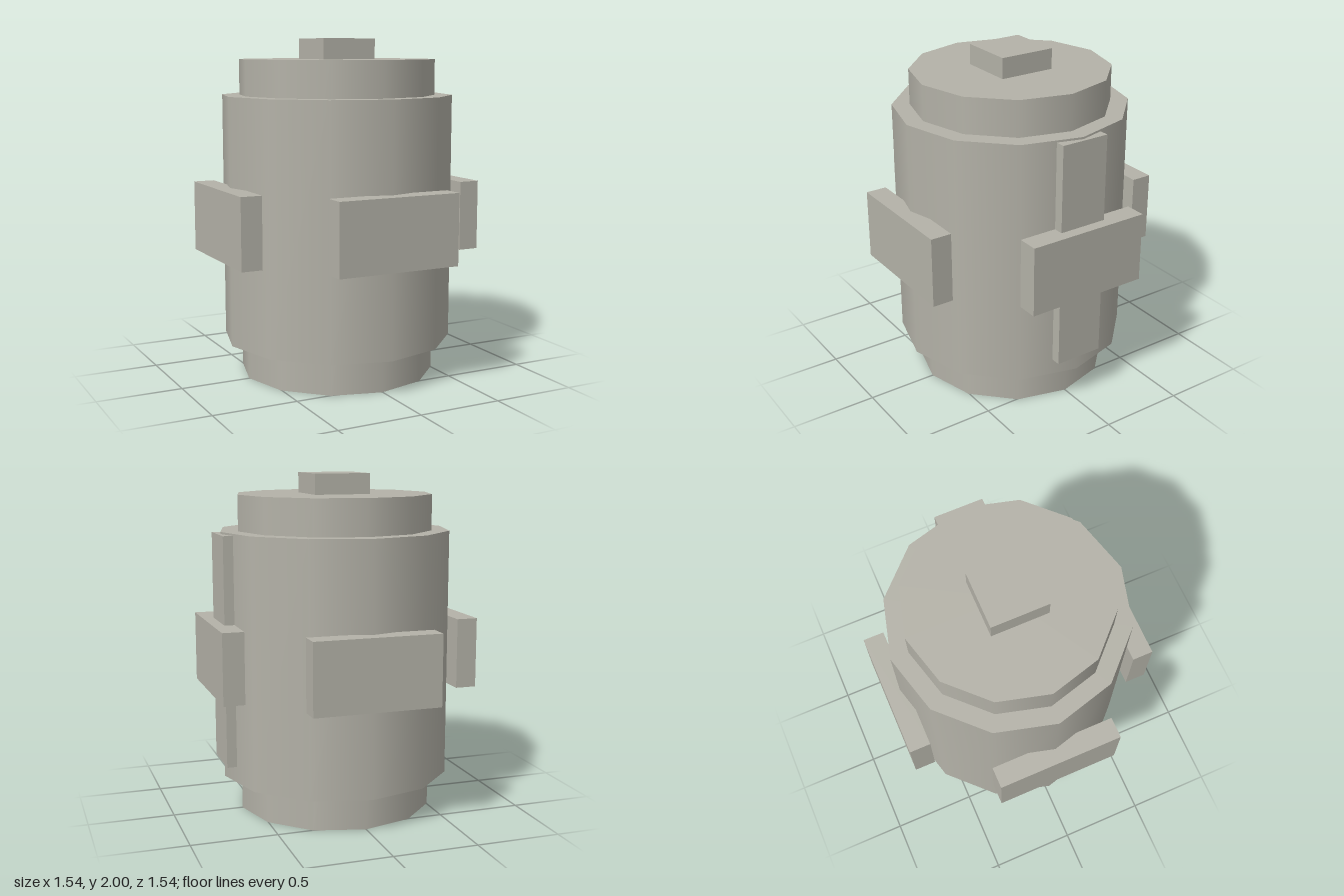
import * as THREE from 'three';

export function createModel() {
  const model = new THREE.Group();
  model.name = 'canister';
  const grey = new THREE.MeshStandardMaterial({ color: 0xb4b2a8 });
  grey.name = 'warm grey';

  const add = (name, geometry, x, y, z) => {
    const mesh = new THREE.Mesh(geometry, grey);
    mesh.name = name;
    mesh.position.set(x, y, z);
    model.add(mesh);
    return mesh;
  };

  // Twelve-sided drum, smooth round the side, given by its bottom and top
  const drum = (name, radius, y0, y1) =>
    add(name, new THREE.CylinderGeometry(radius, radius, y1 - y0, 12), 0, (y0 + y1) / 2, 0);

  drum('core', 0.582, 0, 1.88);
  drum('outerShell', 0.686, 0.21, 1.67);

  // Square knob on the lid
  add('topKnob', new THREE.BoxGeometry(0.334, 0.125, 0.334), 0, 1.9375, 0);

  // Four thick plates round the middle
  const plate = new THREE.BoxGeometry(0.748, 0.415, 0.125);
  ['front', 'left', 'back', 'right'].forEach((side, i) => {
    const a = (i * Math.PI) / 2;
    add(side + 'Plate', plate, Math.sin(a) * 0.708, 0.942, Math.cos(a) * 0.708).rotation.y = a;
  });

  // Upright strip on the left side, running behind the plate
  add('leftStrip', new THREE.BoxGeometry(0.06, 1.352, 0.294), 0.675, 0.982, 0);

  return model;
}
